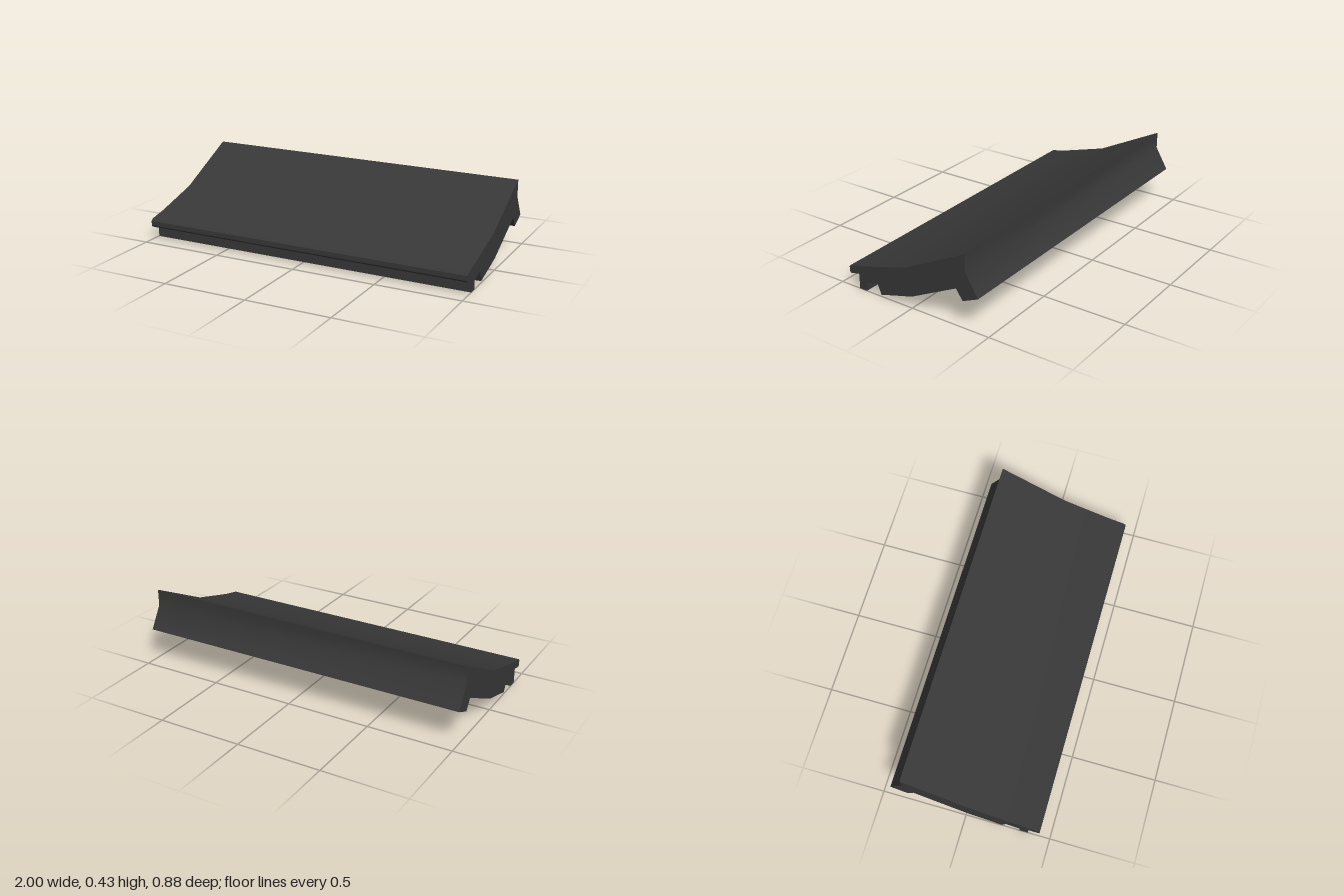
import * as THREE from 'three';
import { toCreasedNormals } from 'three/addons/utils/BufferGeometryUtils.js';

const material = new THREE.MeshStandardMaterial({ color: 0x383838 });

// Sweep a side profile of [z, y] points along x, centred on the given x
function sweep(name, profile, width, x = 0) {
  const shape = new THREE.Shape(profile.map(([z, y]) => new THREE.Vector2(z, y)));
  const geometry = new THREE.ExtrudeGeometry(shape, { depth: width, bevelEnabled: false });
  geometry.translate(0, 0, -width / 2).rotateY(-Math.PI / 2);
  const mesh = new THREE.Mesh(toCreasedNormals(geometry, 0.6), material);
  mesh.name = name;
  mesh.position.x = x;
  return mesh;
}

export function createModel() {
  const model = new THREE.Group();
  model.name = 'slopedPanel';

  // Bent slab with a rounded nose, a front hook and a rear lip
  model.add(sweep('slab', [
    [0.32, 0.15], [0.04, 0.23], [-0.36, 0.43], [-0.36, 0.33],
    [-0.4375, 0.2], [-0.34, 0.157], [-0.31, 0.2], [-0.265, 0.28],
    [0.02, 0.137], [0.24, 0.075], [0.32, 0.05], [0.32, 0], [0.37, 0],
    [0.37, 0.09], [0.43, 0.077], [0.4375, 0.087], [0.4375, 0.115], [0.427, 0.127],
  ], 2));

  const ribWidth = 0.1;
  const spacing = (2 - ribWidth) / 4;

  // End ribs, flush with both ends, running forward to a foot
  const endRib = [
    [0.24, 0.075], [0.22, 0.12], [0.02, 0.18], [-0.29, 0.33], [-0.32, 0.22],
    [-0.3, 0.218], [0, 0.07], [0.13, 0.034], [0.215, 0.01],
  ];
  for (const side of [-1, 1]) {
    model.add(sweep('endRib', endRib, ribWidth, side * 2 * spacing));
  }

  // Shorter, slightly deeper ribs between them
  const innerRib = [
    [0.16, 0.11], [0.02, 0.16], [-0.29, 0.31], [-0.32, 0.21],
    [-0.31, 0.2], [-0.08, 0.09], [0.13, 0.023],
  ];
  for (let i = -1; i <= 1; i++) {
    model.add(sweep('innerRib', innerRib, ribWidth, i * spacing));
  }

  return model;
}
